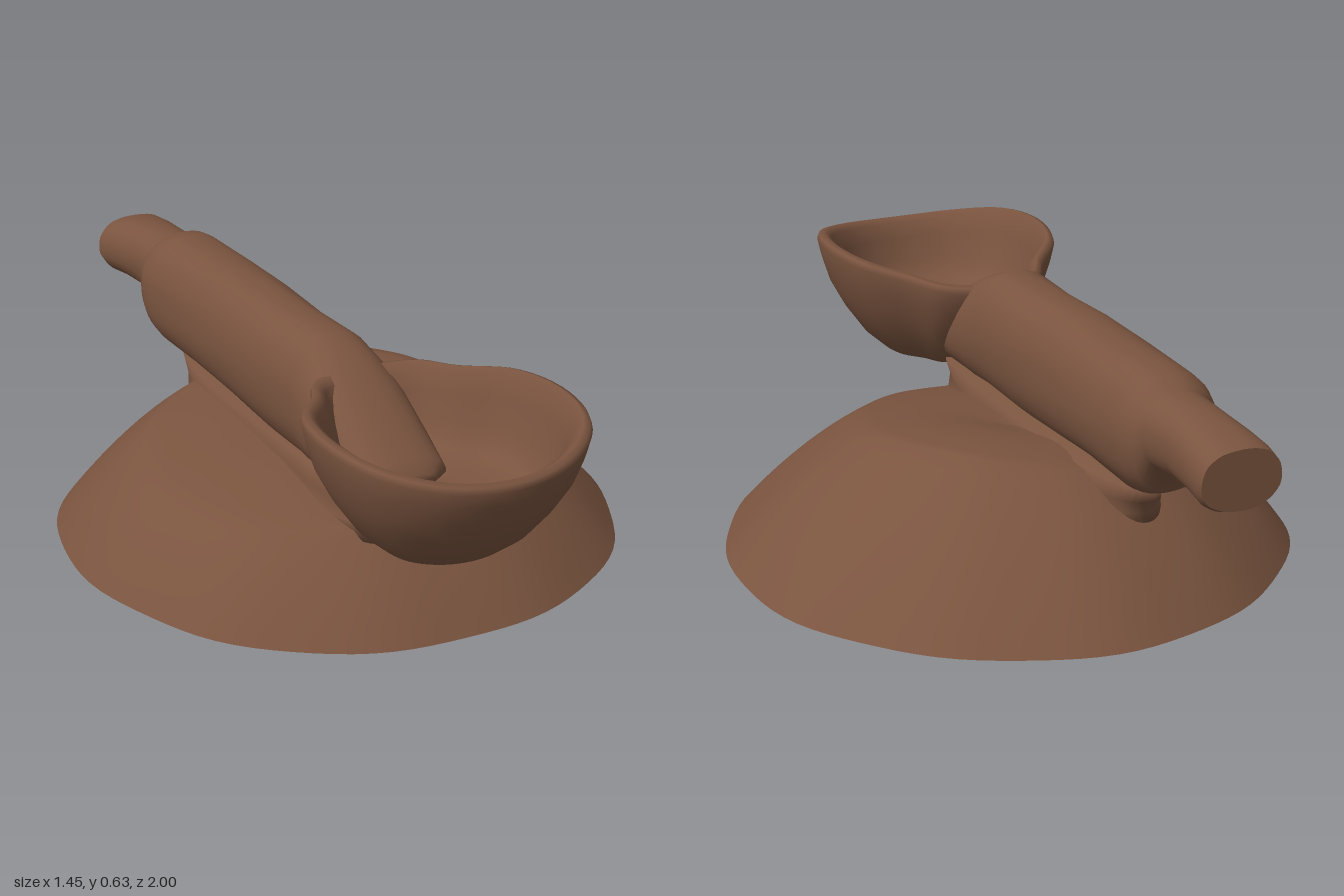
import * as THREE from 'three';

// Skins a list of equal-length rings; a repeated ring makes a hard edge.
function loft(rings) {
  const n = rings[0].length, pos = [], idx = [];
  for (const ring of rings) for (const p of ring) pos.push(...p);
  for (let i = 0; i < rings.length - 1; i++) {
    for (let j = 0; j < n; j++) {
      const k = (j + 1) % n;
      const a = i * n + j, b = i * n + k, c = b + n, d = a + n;
      idx.push(a, d, c, a, c, b);
    }
  }
  const g = new THREE.BufferGeometry();
  g.setAttribute('position', new THREE.Float32BufferAttribute(pos, 3));
  g.setIndex(idx);
  g.computeVertexNormals();
  return g;
}

const around = (n, f) => Array.from({ length: n }, (_, j) => f(j / n * Math.PI * 2));
const wobble = (a, b) => Math.sin(a * 5 + b * 3) * 0.6 + Math.sin(a * 11 - b * 7) * 0.4;

// Mound: sloping flank up to a tilted top, lower at left front, higher at right back
function moundGeometry() {
  const cz = -0.045, n = 96;
  const ring = (t, flat) => around(n, a => {
    const c = Math.cos(a), s = Math.sin(a);
    const edge = 0.59 - 0.125 * c + 0.08 * s;
    const h = 0.277 + 0.047 * c - 0.042 * s;
    const outer = 0.725 + 0.008 * wobble(a, 1);
    let r, y;
    if (t <= 1) {
      r = 1 - t * (1 - edge);
      y = h * (1.3 * t - 0.3 * t * t);
    } else {
      const u = t - 1;
      r = edge * (1 - u);
      y = h + (0.3 - h) * u + 0.018 * Math.sin(u * Math.PI);
    }
    if (flat) { r = t; y = 0; }
    return [c * r * outer, y, cz + s * r * outer * 1.02];
  });
  const rings = [ring(0, true), ring(1, true)];
  for (let i = 0; i <= 20; i++) rings.push(ring(i / 10, false));
  return loft(rings);
}

// Handle sections: z, bottom, top, half width
function handleGeometry() {
  const sections = [
    [0.57, 0.36, 0.40, 0.07], [0.54, 0.32, 0.43, 0.115], [0.45, 0.30, 0.49, 0.125],
    [0.35, 0.295, 0.56, 0.13], [0.27, 0.29, 0.60, 0.13], [0.19, 0.29, 0.627, 0.124],
    [0, 0.29, 0.625, 0.123], [-0.2, 0.30, 0.63, 0.124], [-0.4, 0.31, 0.627, 0.126],
    [-0.6, 0.31, 0.625, 0.127], [-0.65, 0.32, 0.618, 0.125], [-0.685, 0.34, 0.60, 0.115],
    [-0.70, 0.40, 0.592, 0.093], [-0.8, 0.41, 0.588, 0.09], [-0.9, 0.408, 0.578, 0.098],
    [-0.97, 0.40, 0.567, 0.104], [-0.995, 0.41, 0.557, 0.102],
  ];
  const soft = v => Math.sign(v) * Math.abs(v) ** 0.88;
  const ring = ([z, lo, hi, w], k = 1) => around(40, a => {
    const b = k * (1 + 0.012 * wobble(a, z * 3));
    return [-0.14 + w * b * soft(Math.cos(a)), (lo + hi) / 2 + (hi - lo) / 2 * b * soft(Math.sin(a)), z];
  });
  const first = sections[0], last = sections[sections.length - 1];
  return loft([ring(first, 0), ...sections.map(s => ring(s)), ring(last), ring(last, 0)]);
}

// Bowl: pear-shaped outline scaled through outer wall, rim and hollow
function bowlGeometry() {
  const half = [[0, 1], [0.16, 0.965], [0.28, 0.86], [0.32, 0.70], [0.29, 0.52], [0.2, 0.4], [0.135, 0.3], [0, 0.26]];
  const pts = [
    ...half.map(([x, z]) => new THREE.Vector3(-x, 0, z)),
    ...half.slice(1, -1).reverse().map(([x, z]) => new THREE.Vector3(x, 0, z)),
  ];
  const curve = new THREE.CatmullRomCurve3(pts, true);
  const outline = Array.from({ length: 72 }, (_, i) => curve.getPoint(i / 72));
  const cz = 0.65;
  // scale, height, share of the wavy rim height
  const steps = [
    [0, 0.28, 0], [0.3, 0.28, 0], [0.5, 0.292, 0], [0.65, 0.335, 0], [0.8, 0.40, 0.1],
    [0.91, 0.46, 0.3], [0.97, 0.51, 0.7], [1, 0.545, 1], [0.985, 0.56, 1], [0.94, 0.565, 1],
    [0.88, 0.55, 1], [0.83, 0.51, 0.7], [0.77, 0.45, 0.3], [0.68, 0.40, 0], [0.5, 0.375, 0], [0, 0.37, 0],
  ];
  return loft(steps.map(([s, y, w]) => outline.map(p => [
    -0.115 + p.x * s, y + w * 0.04 * (p.x / 0.32) ** 2, cz + (p.z - cz) * s,
  ])));
}

// Clay seam joining the handle and bowl to the mound
function seamGeometry() {
  const ring = (y, w, front, back) => around(48, a => {
    const s = Math.sin(a), mid = (front + back) / 2;
    return [-0.13 + w * Math.cos(a), y, mid + (front - back) / 2 * Math.sign(s) * Math.abs(s) ** 0.5];
  });
  return loft([
    ring(0.2, 0, 0, 0), ring(0.2, 0.14, 0.52, -0.56), ring(0.235, 0.125, 0.51, -0.56),
    ring(0.27, 0.11, 0.52, -0.58), ring(0.32, 0.11, 0.58, -0.62), ring(0.34, 0, 0, 0),
  ]);
}

export function createModel() {
  const group = new THREE.Group();
  const clay = new THREE.MeshStandardMaterial({ color: 0x7a543f });
  clay.name = 'brown clay';
  const parts = {
    mound: moundGeometry(),
    handle: handleGeometry(),
    bowl: bowlGeometry(),
    seam: seamGeometry(),
  };
  for (const [name, geometry] of Object.entries(parts)) {
    const mesh = new THREE.Mesh(geometry, clay);
    mesh.name = name;
    group.add(mesh);
  }
  return group;
}
